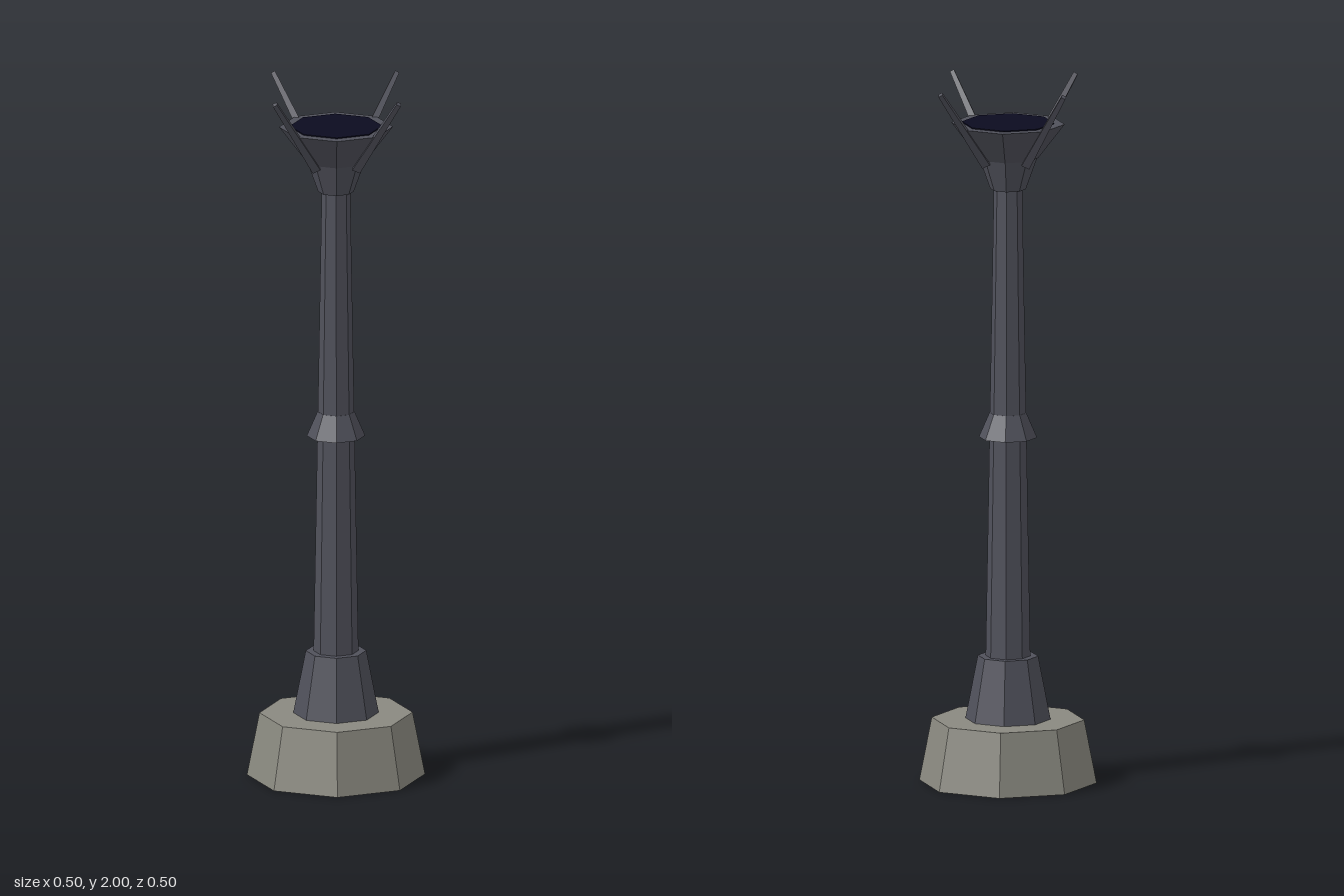
import * as THREE from 'three';

export function createModel() {
  const model = new THREE.Group();
  const stone = new THREE.MeshStandardMaterial({ color: 0x8a8980, flatShading: true });
  stone.name = 'stone';
  const iron = new THREE.MeshStandardMaterial({ color: 0x50515b, flatShading: true });
  iron.name = 'darkIron';
  const bowl = new THREE.MeshStandardMaterial({ color: 0x0b0b20, flatShading: true });
  bowl.name = 'midnightBlue';

  // Eight-sided tapered section between two heights
  const section = (name, material, y0, r0, y1, r1) => {
    const mesh = new THREE.Mesh(new THREE.CylinderGeometry(r1, r0, y1 - y0, 8), material);
    mesh.position.y = (y0 + y1) / 2;
    mesh.name = name;
    model.add(mesh);
  };

  section('base', stone, 0, 0.25, 0.18, 0.215);
  section('footCollar', iron, 0.18, 0.12, 0.36, 0.085);
  section('shaft', iron, 0.36, 0.063, 1.70, 0.04);
  section('middleRing', iron, 0.985, 0.082, 1.055, 0.052);
  section('cupNeck', iron, 1.695, 0.05, 1.785, 0.082);
  section('cup', iron, 1.785, 0.085, 1.883, 0.16);
  section('bowlSurface', bowl, 1.88, 0.13, 1.886, 0.13);

  // Four tapered prongs leaning outward on the diagonals
  const low = new THREE.Vector2(0.08, 1.775);
  const high = new THREE.Vector2(0.246, 1.995);
  const lean = Math.atan2(high.x - low.x, high.y - low.y);
  for (let i = 0; i < 4; i++) {
    const prong = new THREE.Group();
    prong.name = 'prong' + (i + 1);
    const bar = new THREE.Mesh(
      new THREE.CylinderGeometry(0.009, 0.017, low.distanceTo(high), 4), iron);
    bar.name = 'prongBar';
    bar.position.set((low.x + high.x) / 2, (low.y + high.y) / 2, 0);
    bar.rotation.z = -lean;
    prong.add(bar);
    prong.rotation.y = Math.PI / 4 + i * Math.PI / 2;
    model.add(prong);
  }
  return model;
}
